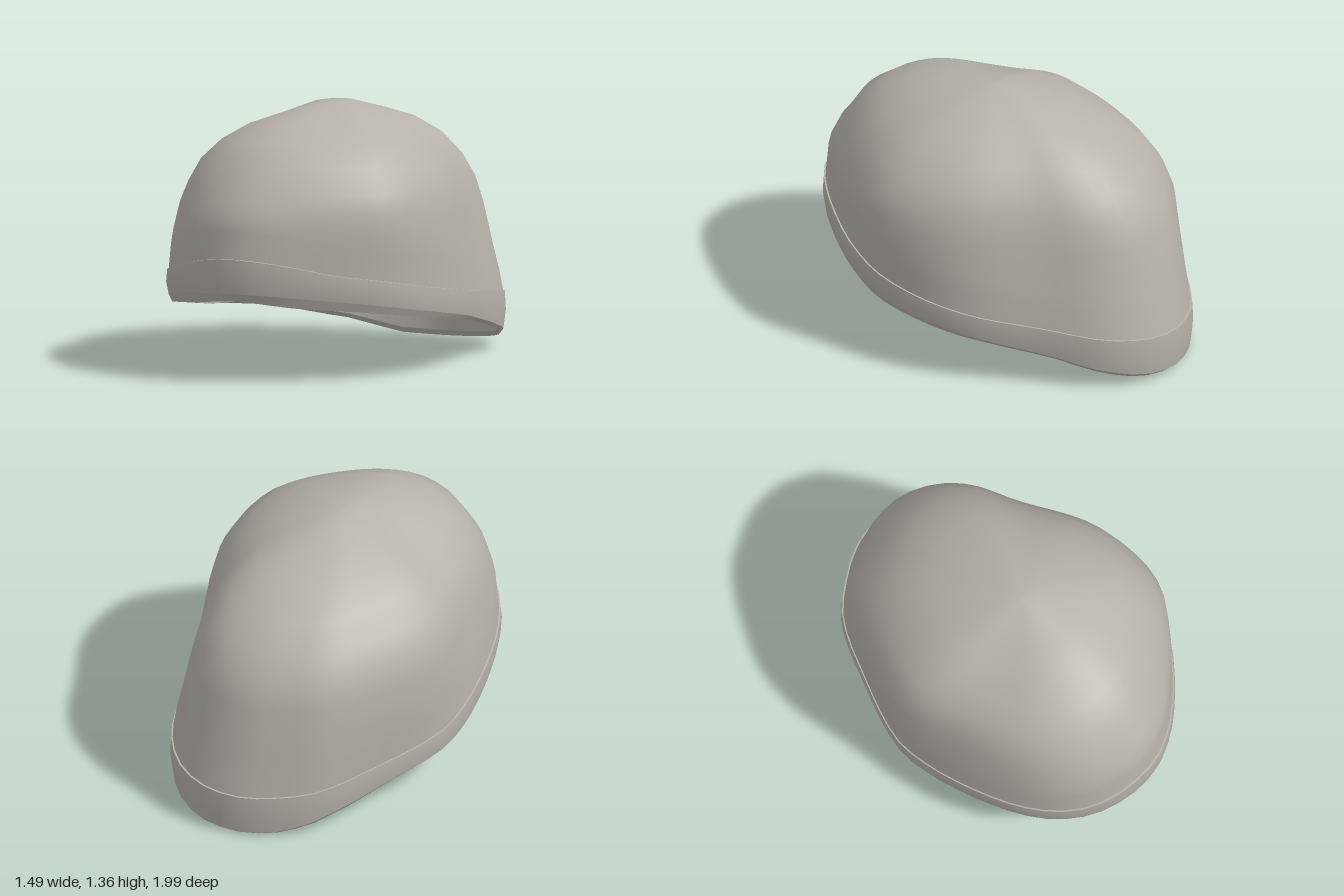
import * as THREE from 'three';

const SEG = 56;

// plan outline of the band, from the back round by the left side
const PLAN = [
  [0.2, -1], [0.42, -0.96], [0.58, -0.84], [0.68, -0.64], [0.71, -0.32], [0.745, 0.03],
  [0.73, 0.2], [0.68, 0.38], [0.58, 0.58], [0.42, 0.73], [0.2, 0.87], [0, 0.96],
  [-0.19, 0.995], [-0.38, 0.95], [-0.55, 0.84], [-0.66, 0.69], [-0.72, 0.51], [-0.745, 0.25],
  [-0.73, -0.05], [-0.685, -0.25], [-0.605, -0.39], [-0.51, -0.515], [-0.41, -0.635], [-0.31, -0.755],
  [-0.18, -0.875], [0, -0.955],
];

// heights along z of the slanting edges
const LIP = [[-1, 0], [-0.8, 0.05], [-0.4, 0.165], [0, 0.25], [0.5, 0.33], [0.93, 0.4], [1, 0.43]];
const EDGE = [[-1, 0.015], [-0.8, 0.07], [-0.4, 0.18], [0, 0.27], [0.5, 0.365], [1, 0.47]];
const SEAM = [[-1, 0.24], [-0.8, 0.28], [-0.4, 0.34], [0, 0.4], [0.4, 0.47], [0.8, 0.56], [1, 0.65]];

// crown profile: radius factor, then height share at front, sides and back, then flank swell
const CROWN = [
  [1, 0, 0, 0, 0], [0.985, 0.2, 0.13, 0.11, 0.25], [0.97, 0.29, 0.22, 0.2, 0.5], [0.93, 0.4, 0.43, 0.45, 1],
  [0.88, 0.49, 0.58, 0.57, 1], [0.8, 0.66, 0.69, 0.68, 0.9], [0.67, 0.79, 0.8, 0.79, 0.6],
  [0.5, 0.9, 0.89, 0.88, 0.3], [0.3, 0.955, 0.955, 0.94, 0], [0.13, 0.995, 0.993, 0.99, 0], [0, 1, 1, 1, 0],
];

function along(table, z) {
  let i = 1;
  while (i < table.length - 1 && z > table[i][0]) i++;
  const [z0, y0] = table[i - 1], [z1, y1] = table[i];
  return THREE.MathUtils.lerp(y0, y1, THREE.MathUtils.clamp((z - z0) / (z1 - z0), 0, 1));
}

// joins closed rings of points into a smooth surface
function loft(rings) {
  const pos = [], index = [];
  rings.forEach(ring => ring.forEach(p => pos.push(...p)));
  for (let r = 0; r < rings.length - 1; r++) {
    for (let i = 0; i < SEG; i++) {
      const a = r * SEG + i, b = r * SEG + (i + 1) % SEG;
      index.push(a, a + SEG, b, b, a + SEG, b + SEG);
    }
  }
  const geometry = new THREE.BufferGeometry();
  geometry.setAttribute('position', new THREE.Float32BufferAttribute(pos, 3));
  geometry.setIndex(index);
  geometry.computeVertexNormals();
  return geometry;
}

export function createModel() {
  const group = new THREE.Group();
  const fabric = new THREE.MeshStandardMaterial({ color: 0xb6b2aa, side: THREE.DoubleSide });
  fabric.name = 'greyFabric';

  const curve = new THREE.CatmullRomCurve3(PLAN.map(([x, z]) => new THREE.Vector3(x, 0, z)), true);
  const plan = curve.getSpacedPoints(SEG).slice(0, SEG);

  // a ring of the outline, scaled, at a height given by the plan point
  const ring = (scale, height) => plan.map(p => [p.x * scale, height(p), p.z * scale]);
  const clamp01 = v => THREE.MathUtils.clamp(v, 0, 1);
  // the rim is lifted at the back right
  const lift = p => 0.045 * clamp01(-p.x / 0.25) * clamp01(-p.z / 0.5);
  const lip = p => along(LIP, p.z) + lift(p);
  const innerLip = p => lip(p) + 0.03 * Math.max(0, -p.z);
  const edge = p => along(EDGE, p.z) + lift(p);
  const seam = p => along(SEAM, p.z);
  const liningTop = p => seam(p) - 0.04;
  const mid = p => (edge(p) + seam(p)) / 2;

  // the flat flanks of the outline swell above the seam, the back left corner draws in
  const crownRings = (scale, drop) => CROWN.map(([r, front, side, back, swell]) => plan.map(p => {
    const w = Math.min(1, Math.abs(p.z) ** 1.5);
    const share = THREE.MathUtils.lerp(side, p.z > 0 ? front : back, w);
    const diagonal = 2 * p.x * p.z / (p.x * p.x + p.z * p.z);
    const amount = diagonal > 0 ? (p.x > 0 ? 0.07 : 0.1) : (p.x > 0 ? 0.05 : 0);
    const s = r * scale * (1 + amount * swell * diagonal);
    const x = p.x * s, z = p.z * s + 0.08 * (1 - r), base = seam(p);
    // soft hollow on the right shoulder
    const dent = 0.04 * share * Math.exp(-((x + 0.37) ** 2 + (z - 0.14) ** 2) / 0.05);
    return [x, base + (1.36 - drop - base) * share - dent, z];
  }));

  const add = (name, rings) => {
    const mesh = new THREE.Mesh(loft(rings), fabric);
    mesh.name = name;
    group.add(mesh);
  };

  // crown and its inside
  add('crown', crownRings(0.985, 0));
  add('crownInside', crownRings(0.95, 0.04).reverse());

  // folded band: outer face, top ledge, bottom lip and lining
  add('bandOuter', [ring(0.985, edge), ring(1, mid), ring(0.994, seam)]);
  add('bandLedge', [ring(0.994, seam), ring(0.95, p => seam(p) + 0.004)]);
  add('bandBevel', [ring(0.965, lip), ring(0.985, edge)]);
  add('bandLip', [ring(0.945, innerLip), ring(0.965, lip)]);
  add('bandLining', [ring(0.935, liningTop), ring(0.945, innerLip)]);
  add('liningEdge', [ring(0.955, liningTop), ring(0.935, liningTop)]);
  add('innerWall', [ring(0.95, seam), ring(0.95, liningTop)]);

  return group;
}
